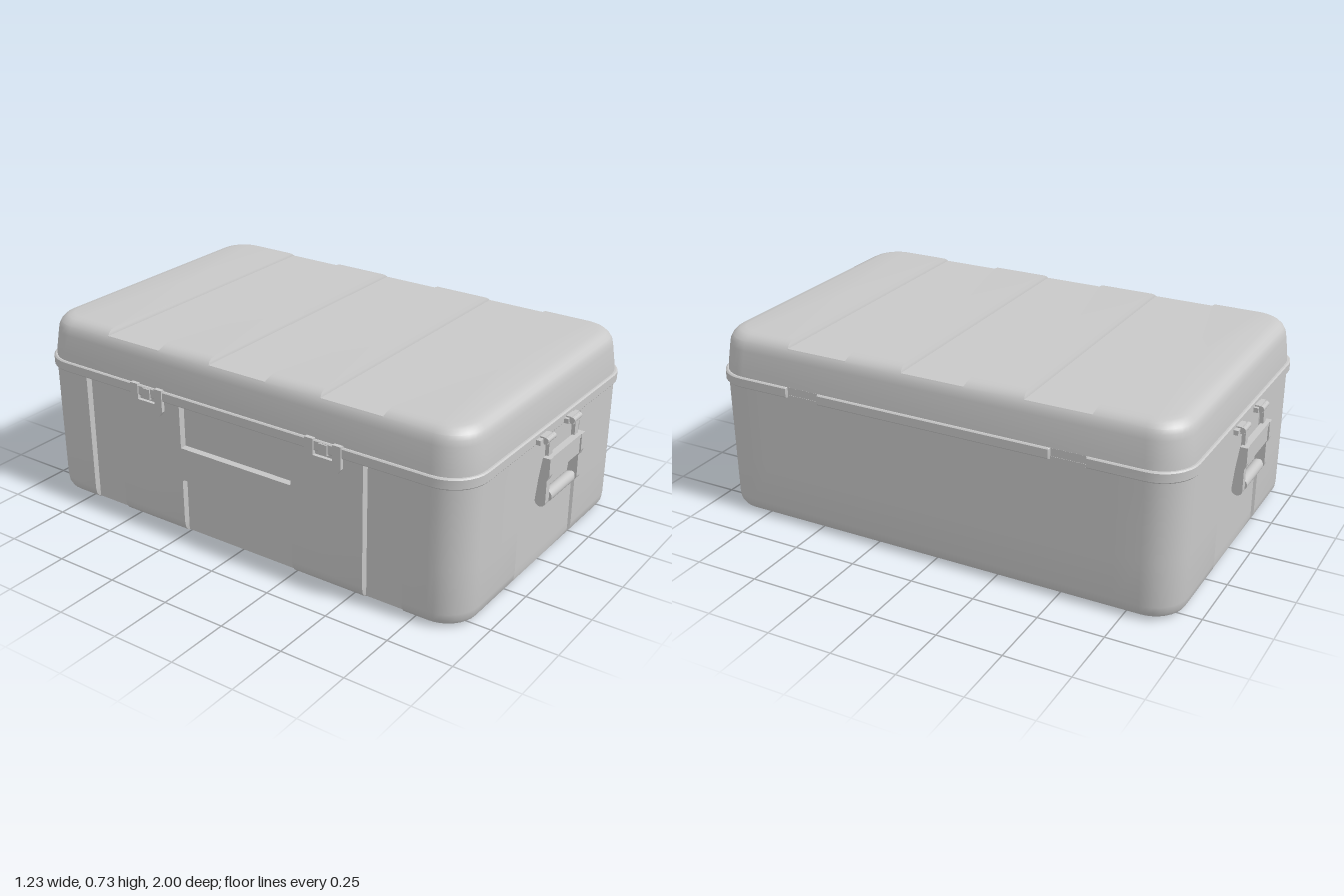
import * as THREE from 'three';
import { toCreasedNormals } from 'three/addons/utils/BufferGeometryUtils.js';

const shell = new THREE.MeshStandardMaterial({ color: 0xc8c8c8 });
shell.name = 'grey shell';

function add(parent, name, geometry, x = 0, y = 0, z = 0) {
  const mesh = new THREE.Mesh(geometry, shell);
  mesh.name = name;
  mesh.position.set(x, y, z);
  parent.add(mesh);
  return mesh;
}
const box = (w, h, d) => new THREE.BoxGeometry(w, h, d);
const rod = (r, len) => new THREE.CylinderGeometry(r, r, len, 20).rotateZ(Math.PI / 2);

// Rounded rectangle as [x, z] points; xs and zs are extra points on the straight sides.
function ring(hx, hz, r, xs, zs) {
  const pts = [];
  const up = (a) => [...a].sort((p, q) => p - q);
  const down = (a) => up(a).reverse();
  const corner = (sx, sz, start) => {
    for (let i = 0; i <= 8; i++) {
      const a = start + (i / 8) * Math.PI / 2;
      pts.push([sx * (hx - r) + r * Math.cos(a), sz * (hz - r) + r * Math.sin(a)]);
    }
  };
  up(zs).forEach((z) => pts.push([hx, z]));
  corner(1, 1, 0);
  down(xs).forEach((x) => pts.push([x, hz]));
  corner(-1, 1, Math.PI / 2);
  down(zs).forEach((z) => pts.push([-hx, z]));
  corner(-1, -1, Math.PI);
  up(xs).forEach((x) => pts.push([x, -hz]));
  corner(1, -1, Math.PI * 1.5);
  return pts;
}

// Skin over layers [y, hx, hz, r]; warp may move each point.
function loft(layers, { xs = [0], zs = [0], warp = null } = {}) {
  const pos = [], index = [];
  const rings = layers.map(([y, hx, hz, r]) => ring(hx, hz, r, xs, zs).map(([x, z]) => {
    const p = new THREE.Vector3(x, y, z);
    if (warp) warp(p);
    return p;
  }));
  const n = rings[0].length;
  rings.flat().forEach((p) => pos.push(p.x, p.y, p.z));
  for (let i = 0; i < rings.length - 1; i++) {
    for (let j = 0; j < n; j++) {
      const a = i * n + j, b = i * n + (j + 1) % n;
      index.push(a, a + n, b, b, a + n, b + n);
    }
  }
  [0, rings.length - 1].forEach((i) => {
    const zv = rings[i].map((p) => p.z);
    const c = pos.length / 3;
    pos.push(0, rings[i][0].y, (Math.min(...zv) + Math.max(...zv)) / 2);
    for (let j = 0; j < n; j++) {
      const a = i * n + j, b = i * n + (j + 1) % n;
      if (i === 0) index.push(c, a, b); else index.push(c, b, a);
    }
  });
  const g = new THREE.BufferGeometry();
  g.setAttribute('position', new THREE.Float32BufferAttribute(pos, 3));
  g.setIndex(index);
  return toCreasedNormals(g, 0.5);
}

// Lower tub with end panels and recesses on the latch side
function tub() {
  const e = 0.005;
  const xs = [0, -0.22, -0.22 + e, 0.22 - e, 0.22];
  const zs = [0];
  [0.25, 0.55, 0.71].forEach((z, i) => {
    const inner = i === 1 ? z + e : z - e;
    zs.push(z, inner, -z, -inner);
  });
  const layers = [[0, 0.54, 0.88, 0.08], [0.004, 0.57, 0.907, 0.1], [0.014, 0.588, 0.924, 0.115],
    [0.03, 0.598, 0.933, 0.125], [0.055, 0.602, 0.936, 0.13]];
  [0.225, 0.23, 0.36, 0.365, 0.54].forEach((y) => layers.push([y, 0.602 + 0.004 * y, 0.936 + 0.004 * y, 0.13]));
  const t = 1e-4;
  return loft(layers, { xs, zs, warp: (p) => {
    const az = Math.abs(p.z), ax = Math.abs(p.x);
    if (ax < 0.216 && az > 0.9) p.z = Math.sign(p.z) * Math.min(az, 0.926);
    const slot = az > 0.55 + t && az < 0.71 - t;
    const window = az < 0.25 - t && (p.y < 0.23 - t || p.y > 0.36 + t);
    if (p.x < -0.56 && (slot || window)) p.x = Math.max(p.x, -0.583);
  } });
}

// Rim between tub and lid, with two gaps on the hinge side
function rim() {
  const zs = [0, 0.465, 0.47, 0.6, 0.605, -0.465, -0.47, -0.6, -0.605];
  const warp = (p) => {
    const az = Math.abs(p.z);
    if (p.x > 0.59 && az > 0.467 && az < 0.603) p.x = 0.603;
  };
  return loft([[0.53, 0.61, 0.946, 0.135], [0.534, 0.613, 0.949, 0.138],
    [0.566, 0.613, 0.949, 0.138], [0.57, 0.608, 0.944, 0.135]], { zs, warp });
}

// Raised lid pad, cut off at z = lo and z = hi with slightly sloping ends
function lidPad(lo, hi) {
  const layers = [[0.705, 0.579, 0.917, 0.12], [0.711, 0.575, 0.912, 0.118], [0.72, 0.564, 0.902, 0.108],
    [0.726, 0.552, 0.89, 0.096], [0.73, 0.53, 0.868, 0.075]];
  return loft(layers, { warp: (p) => {
    const s = Math.max(0, p.y - 0.71) * 0.4;
    p.z = Math.min(hi - s, Math.max(lo + s, p.z));
  } });
}

// Hinged carrying handle for the +z end
function handle(name) {
  const g = new THREE.Group();
  g.name = name;
  const side = new THREE.Shape();
  side.moveTo(0.972, 0.485);
  side.lineTo(0.96, 0.4);
  side.lineTo(0.952, 0.318);
  side.absarc(0.972, 0.316, 0.02, Math.PI, Math.PI * 2, false);
  side.lineTo(0.992, 0.4);
  side.lineTo(1.0, 0.42);
  side.lineTo(1.0, 0.485);
  side.closePath();
  const arm = new THREE.ExtrudeGeometry(side, { depth: 0.025, bevelEnabled: false, curveSegments: 12 }).rotateY(-Math.PI / 2);
  for (const s of [-1, 1]) {
    add(g, 'handleArm', arm, s * 0.1225 + 0.0125);
    add(g, 'bracket', box(0.088, 0.018, 0.04), s * 0.106, 0.542, 0.946);
    add(g, 'bracketBlock', box(0.05, 0.026, 0.03), s * 0.1, 0.543, 0.965);
    add(g, 'hingeStem', box(0.028, 0.075, 0.014), s * 0.1, 0.516, 0.975);
    add(g, 'hingePin', rod(0.011, 0.06), s * 0.1, 0.546, 0.975);
    add(g, 'gripEnd', rod(0.013, 0.03), s * 0.1, 0.318, 0.972);
  }
  add(g, 'handlePlate', box(0.222, 0.076, 0.016), 0, 0.447, 0.986);
  add(g, 'handleTopBar', box(0.222, 0.014, 0.026), 0, 0.478, 0.985);
  add(g, 'grip', rod(0.022, 0.18), 0, 0.318, 0.972);
  return g;
}

// Latch with a notched plate and a catch, on the -x side
function latch(z) {
  const g = new THREE.Group();
  g.name = 'latch';
  const s = new THREE.Shape([[-0.075, 0.575], [-0.075, 0.49], [-0.06, 0.47], [0.06, 0.47], [0.075, 0.49],
    [0.075, 0.575], [0.04, 0.575], [0.04, 0.515], [-0.04, 0.515], [-0.04, 0.575]].map((p) => new THREE.Vector2(...p)));
  const plate = new THREE.ExtrudeGeometry(s, { depth: 0.017, bevelEnabled: false }).rotateY(-Math.PI / 2);
  add(g, 'latchPlate', plate, -0.601, 0, z);
  add(g, 'latchCatch', box(0.014, 0.04, 0.035), -0.611, 0.545, z);
  return g;
}

export function createModel() {
  const model = new THREE.Group();
  model.name = 'storageCase';
  add(model, 'tub', tub());
  add(model, 'rim', rim());
  // Lid: tapered base with four raised pads leaving three grooves
  add(model, 'lid', loft([[0.565, 0.603, 0.938, 0.132], [0.6, 0.6, 0.936, 0.13], [0.67, 0.591, 0.928, 0.128],
    [0.69, 0.587, 0.924, 0.125], [0.705, 0.579, 0.917, 0.12], [0.71, 0.5755, 0.9125, 0.118]]));
  [[-1, -0.607], [-0.358, -0.125], [0.125, 0.358], [0.607, 1]].forEach(([lo, hi]) => add(model, 'lidPad', lidPad(lo, hi)));
  const back = handle('backHandle');
  back.rotation.y = Math.PI;
  model.add(handle('frontHandle'), back, latch(-0.395), latch(0.395));
  return model;
}
